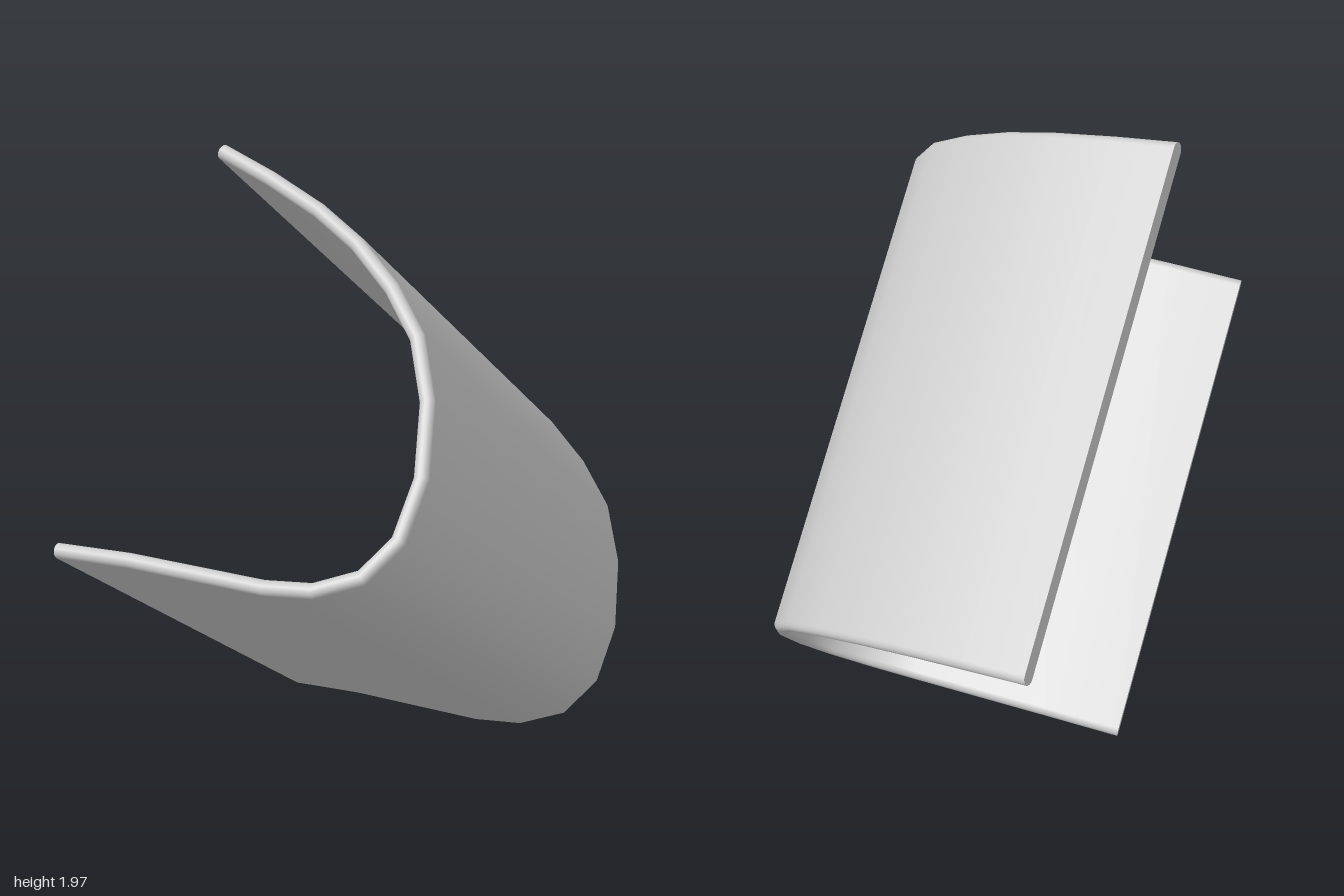
import * as THREE from 'three';

const HALF_LENGTH = 0.753; // to the centre of the rounded rims
const RADIUS = 0.022;      // half the sheet thickness
const TILT = THREE.MathUtils.degToRad(40);

// Centre line of the bent sheet, upper edge to lower edge
const PROFILE = [
  [-0.495, 0.627], [-0.305, 0.574], [-0.11, 0.507], [0.05, 0.432], [0.205, 0.328],
  [0.335, 0.207], [0.432, 0.042], [0.495, -0.163], [0.495, -0.338], [0.43, -0.457],
  [0.305, -0.527], [0.16, -0.556], [-0.28, -0.591], [-0.517, -0.622],
].map(([x, y]) => new THREE.Vector2(x, y));

// Stadium cross-section: [offset along the normal, position along the length]
function sheetSection(steps = 8) {
  const section = [];
  for (const [start, z] of [[0, HALF_LENGTH], [Math.PI, -HALF_LENGTH]]) {
    for (let k = 0; k <= steps; k++) {
      const a = start + (k / steps) * Math.PI;
      section.push([Math.cos(a) * RADIUS, z + Math.sin(a) * RADIUS]);
    }
  }
  return section;
}

// Mitred normal of the path at point i
function miter(path, i) {
  const normal = (a, b) => {
    const t = b.clone().sub(a).normalize();
    return new THREE.Vector2(-t.y, t.x);
  };
  const last = path.length - 1;
  const before = normal(path[Math.max(i - 1, 0)], path[Math.max(i, 1)]);
  const after = normal(path[Math.min(i, last - 1)], path[Math.min(i + 1, last)]);
  const n = before.clone().add(after).normalize();
  return n.divideScalar(n.dot(after));
}

function sweep(path, section) {
  const positions = [], index = [], m = section.length;
  const ring = (i) => {
    const n = miter(path, i);
    for (const [d, z] of section) positions.push(path[i].x + n.x * d, path[i].y + n.y * d, z);
  };
  path.forEach((_, i) => ring(i));
  for (let i = 0; i < path.length - 1; i++) {
    for (let j = 0; j < m; j++) {
      const a = i * m + j, b = i * m + (j + 1) % m;
      index.push(a, b, b + m, a, b + m, a + m);
    }
  }
  // Flat end caps with their own vertices, so their edges stay sharp
  for (const end of [0, path.length - 1]) {
    const base = positions.length / 3;
    ring(end);
    for (let j = 1; j < m - 1; j++) {
      if (end) index.push(base, base + j, base + j + 1);
      else index.push(base, base + j + 1, base + j);
    }
  }
  const geometry = new THREE.BufferGeometry();
  geometry.setAttribute('position', new THREE.Float32BufferAttribute(positions, 3));
  geometry.setIndex(index);
  geometry.computeVertexNormals();
  return geometry;
}

export function createModel() {
  const group = new THREE.Group();
  group.name = 'curvedPanel';
  const sheet = new THREE.Mesh(
    sweep(PROFILE, sheetSection()),
    new THREE.MeshStandardMaterial({ color: 0xcccccc }),
  );
  sheet.name = 'bentSheet';
  sheet.rotation.x = -TILT;
  sheet.position.y = 0.984;
  group.add(sheet);
  return group;
}
